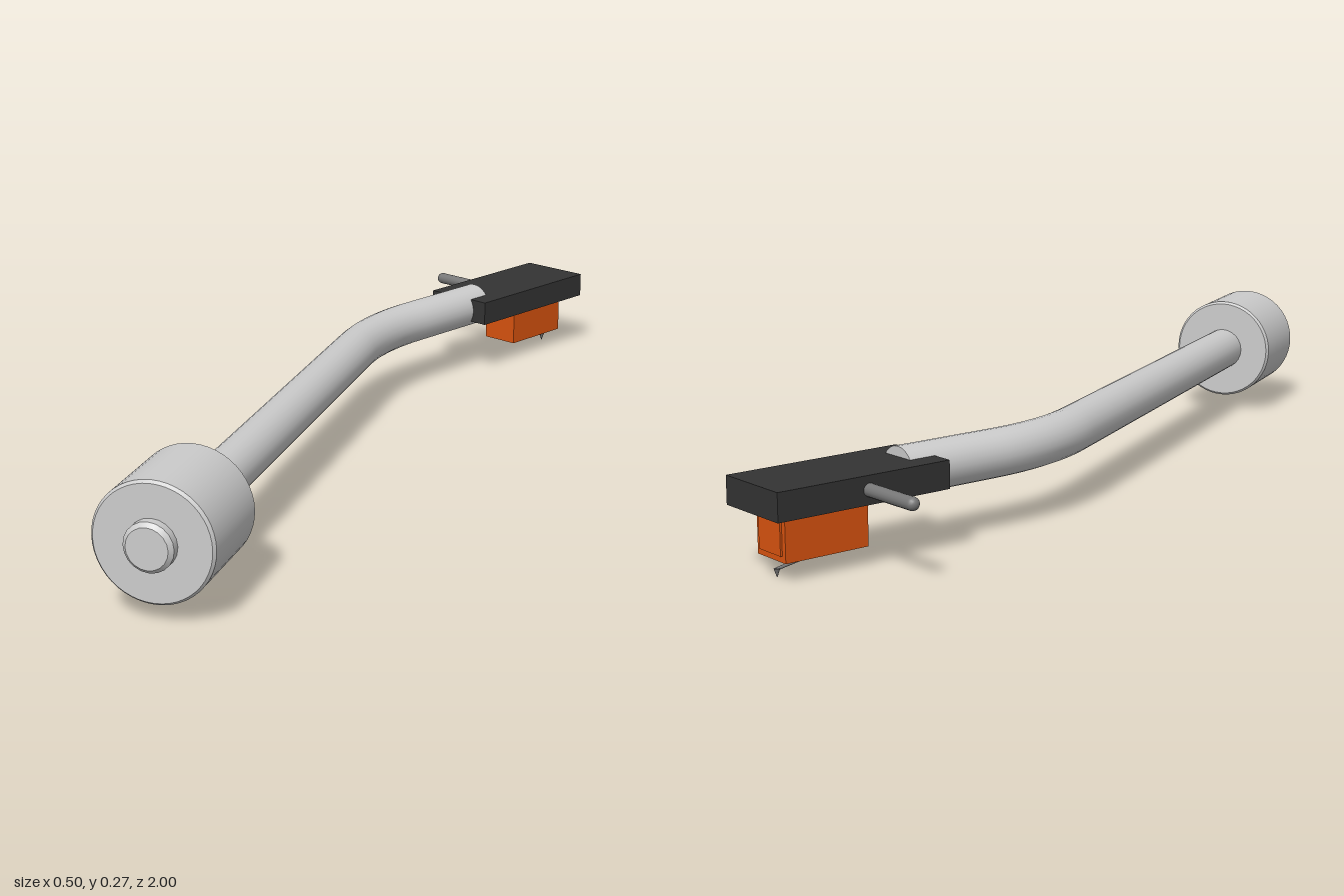
import * as THREE from 'three';

const grey = new THREE.MeshStandardMaterial({ color: 0xcccccc });
const black = new THREE.MeshStandardMaterial({ color: 0x333333 });
const orange = new THREE.MeshStandardMaterial({ color: 0xd9530f });
const steel = new THREE.MeshStandardMaterial({ color: 0x777777 });

const AXIS_X = -0.133, AXIS_Y = 0.152, TUBE_R = 0.048;
const ANGLE = THREE.MathUtils.degToRad(27);

function add(parent, name, geometry, material, x = 0, y = 0, z = 0) {
  const mesh = new THREE.Mesh(geometry, material);
  mesh.name = name;
  mesh.position.set(x, y, z);
  parent.add(mesh);
  return mesh;
}

// Solid of revolution about z; each profile segment is kept crisp
function turned(profile, segments) {
  const points = profile.flatMap(([r, z]) => {
    const p = new THREE.Vector2(r, z);
    return [p, p.clone()];
  });
  return new THREE.LatheGeometry(points, segments).rotateX(Math.PI / 2);
}

// Rod between two points
function rod(parent, name, a, b, r1, r2, material) {
  const dir = b.clone().sub(a);
  const mesh = add(parent, name, new THREE.CylinderGeometry(r2, r1, dir.length(), 12), material);
  mesh.position.copy(a).addScaledVector(dir, 0.5);
  mesh.quaternion.setFromUnitVectors(new THREE.Vector3(0, 1, 0), dir.normalize());
  return mesh;
}

export function createModel() {
  const model = new THREE.Group();
  model.name = 'toneArm';
  const V = (x, y, z) => new THREE.Vector3(x, y, z);

  // Arm tube: straight run, smooth bend, angled run
  const start = V(AXIS_X, AXIS_Y, 0.97), bendIn = V(AXIS_X, AXIS_Y, -0.22);
  const corner = V(AXIS_X, AXIS_Y, -0.357), bendOut = V(-0.071, AXIS_Y, -0.479);
  const end = V(0.031, AXIS_Y, -0.679);
  const path = new THREE.CurvePath();
  path.add(new THREE.LineCurve3(start, bendIn));
  path.add(new THREE.QuadraticBezierCurve3(bendIn, corner, bendOut));
  path.add(new THREE.LineCurve3(bendOut, end));
  add(model, 'armTube', new THREE.TubeGeometry(path, 96, TUBE_R, 24), grey);
  const cap = add(model, 'armTubeEnd', new THREE.CircleGeometry(TUBE_R, 24), grey);
  cap.position.copy(end);
  cap.rotation.y = Math.PI - ANGLE;

  // Counterweight and the bevelled stub behind it
  add(model, 'counterweight', turned([
    [0, 0.77], [0.112, 0.77], [0.117, 0.776], [0.117, 0.969], [0.112, 0.975], [0, 0.975],
  ], 48), grey, AXIS_X, AXIS_Y, 0);
  add(model, 'endStub', turned([
    [0, 0.96], [TUBE_R, 0.96], [TUBE_R, 0.992], [0.04, 1], [0, 1],
  ], 20), grey, AXIS_X, AXIS_Y, 0);

  // Angled head with its cartridge, laid out along its own z
  const head = new THREE.Group();
  head.name = 'head';
  head.position.set(0.09, 0, -0.795);
  head.rotation.y = -ANGLE;
  model.add(head);
  add(head, 'headShell', new THREE.BoxGeometry(0.168, 0.055, 0.374), black, 0, 0.1525, 0);
  add(head, 'cartridge', new THREE.BoxGeometry(0.091, 0.09, 0.178), orange, 0, 0.081, -0.06);
  add(head, 'cartridgeFace', new THREE.BoxGeometry(0.07, 0.066, 0.006), orange, 0, 0.081, -0.15);

  // Finger lift on the right side
  const lift = add(head, 'fingerLift', new THREE.CapsuleGeometry(0.013, 0.13, 6, 16), steel, -0.147, 0.153, 0.007);
  lift.rotation.z = Math.PI / 2;

  // Needle carrier with downward tip
  rod(head, 'cantilever', V(0, 0.04, 0), V(0, 0.015, -0.141), 0.004, 0.003, steel);
  rod(head, 'stylusTip', V(0, 0.016, -0.139), V(0, 0, -0.139), 0.006, 0.0005, steel);

  return model;
}
